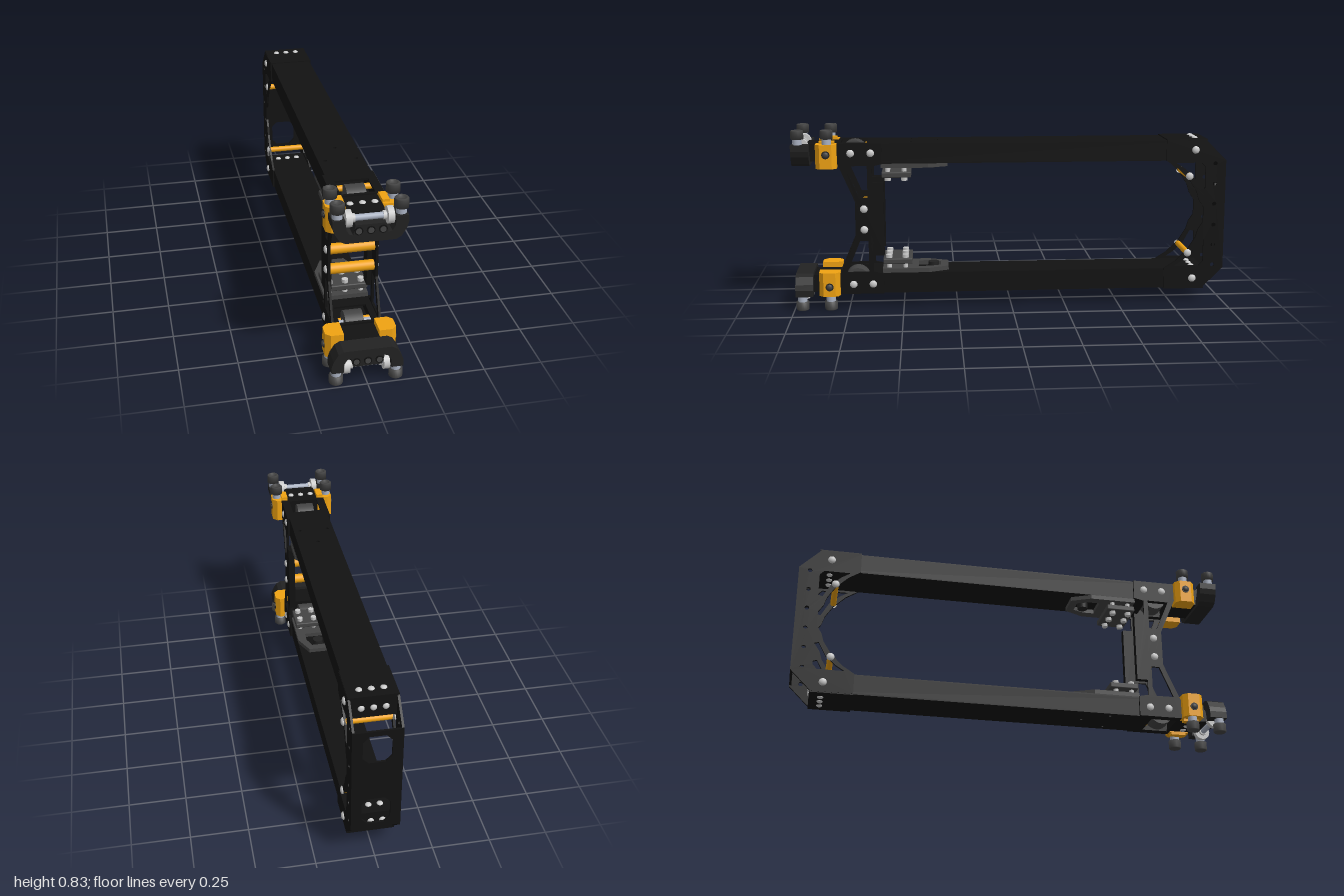
import * as THREE from 'three';
import { RoundedBoxGeometry } from 'three/addons/geometries/RoundedBoxGeometry.js';

const paint = (color) => new THREE.MeshStandardMaterial({ color, side: THREE.DoubleSide });
const black = paint(0x121212), charcoal = paint(0x222222), dark = paint(0x444444);
const yellow = paint(0xf0a312), grey = paint(0xcccccc), steel = paint(0xaab2c2);
const H = 0.83; // total height; the lower half is the upper half turned over
const UP = new THREE.Vector3(0, 1, 0);

function add(parent, name, geo, mat, x = 0, y = 0, z = 0) {
  const m = new THREE.Mesh(geo, mat);
  m.name = name;
  m.position.set(x, y, z);
  parent.add(m);
  return m;
}
const box = (p, n, mat, w, h, d, x, y, z) => add(p, n, new THREE.BoxGeometry(w, h, d), mat, x, y, z);
function rod(p, n, mat, r, len, axis, x, y, z) {
  const m = add(p, n, new THREE.CylinderGeometry(r, r, len, 24), mat, x, y, z);
  if (axis === 'x') m.rotation.z = Math.PI / 2;
  if (axis === 'z') m.rotation.x = Math.PI / 2;
  return m;
}
// domed screw head pointing along dir
function bolt(p, r, x, y, z, dir, mat = grey) {
  const g = new THREE.SphereGeometry(r, 16, 6, 0, Math.PI * 2, 0, Math.PI / 2).scale(1, 0.6, 1);
  add(p, 'bolt', g, mat, x, y, z).quaternion.setFromUnitVectors(UP, new THREE.Vector3(...dir));
}
const poly = (pts) => new THREE.Shape(pts.map(([a, b]) => new THREE.Vector2(a, b)));
function circle(x, y, r) {
  const c = new THREE.Path();
  c.absarc(x, y, r, 0, Math.PI * 2, true);
  return c;
}
function extrude(shape, depth, holes = []) {
  shape.holes.push(...holes);
  return new THREE.ExtrudeGeometry(shape, { depth, bevelEnabled: false, curveSegments: 10 }).translate(0, 0, -depth / 2);
}
const sidePlate = (s, t, holes) => extrude(s, t, holes).rotateY(-Math.PI / 2); // drawn in z, y
const flatPlate = (s, t, holes) => extrude(s, t, holes).rotateX(Math.PI / 2); // drawn in x, z
const flip = (pts) => pts.map(([a, b]) => [a, H - b]);
const both = (pts) => pts.concat(flip(pts).reverse());
const rect = (x, z0, z1) => poly([[-x, z0], [x, z0], [x, z1], [-x, z1]]);

// Everything belonging to one long beam, drawn for the upper one
function buildBeam() {
  const g = new THREE.Group();

  // Hollow beam with a slot for the wheel and small through holes
  const holes = () => [rect(0.07, 0.655, 0.775), circle(0, 0.34, 0.008), circle(-0.067, 0.46, 0.008), circle(0.067, 0.46, 0.008)];
  for (const y of [0.761, 0.674]) add(g, 'beamFace', flatPlate(rect(0.097, -0.91, 0.79), 0.008, holes()), black, 0, y, 0);
  for (const s of [-1, 1]) box(g, 'beamSide', black, 0.008, 0.095, 1.7, s * 0.093, 0.7175, -0.06);
  box(g, 'beamEnd', black, 0.19, 0.09, 0.01, 0, 0.7175, -0.905);
  box(g, 'beamCap', black, 0.206, 0.006, 0.19, 0, 0.767, -0.815);
  for (const x of [-0.05, 0, 0.05]) {
    bolt(g, 0.014, x, 0.77, -0.86, [0, 1, 0]);
    bolt(g, 0.014, x, 0.715, -0.91, [0, 0, -1]);
    bolt(g, 0.014, x, 0.67, -0.86, [0, -1, 0]);
    bolt(g, 0.014, x, 0.76, 0.85, [0, 1, 0]);
  }

  // Wheel inside the beam
  rod(g, 'wheel', dark, 0.056, 0.08, 'x', 0, 0.715, 0.715);
  rod(g, 'wheelAxle', steel, 0.015, 0.19, 'x', 0, 0.715, 0.715);
  rod(g, 'spacerRod', yellow, 0.013, 0.18, 'x', 0, 0.735, 0.665);

  // Nose joining beam and bumper
  box(g, 'nose', black, 0.15, 0.08, 0.15, 0, 0.72, 0.855);

  // U-shaped bumper
  const u = poly([[-0.15, 0.765], [-0.15, 0.735], [-0.142, 0.71], [-0.122, 0.677], [-0.1, 0.665],
    [0.1, 0.665], [0.122, 0.677], [0.142, 0.71], [0.15, 0.735], [0.15, 0.765], [0.1, 0.765],
    [0.098, 0.725], [0.085, 0.705], [0.07, 0.7], [0.06, 0.742], [-0.06, 0.742], [-0.07, 0.7], [-0.085, 0.705], [-0.098, 0.725], [-0.1, 0.765]]);
  add(g, 'bumper', extrude(u, 0.08), charcoal, 0, 0, 0.953);
  for (const x of [-0.048, 0, 0.048]) {
    rod(g, 'bumperBoltRim', black, 0.017, 0.01, 'z', x, 0.717, 0.992);
    rod(g, 'bumperBolt', dark, 0.012, 0.012, 'z', x, 0.717, 0.993);
  }
  rod(g, 'rollerAxle', steel, 0.013, 0.15, 'x', 0, 0.755, 0.955);
  for (const s of [-1, 1]) {
    rod(g, 'roller', grey, 0.035, 0.025, 'x', s * 0.083, 0.755, 0.955);
    rod(g, 'axleCollar', grey, 0.018, 0.012, 'x', s * 0.062, 0.755, 0.955);

    // Feet on the bumper and on the yellow clamps
    for (const [x, z] of [[0.126, 0.963], [0.127, 0.833]]) {
      rod(g, 'footCollar', steel, 0.021, 0.04, 'y', s * x, 0.775, z);
      const foot = new THREE.LatheGeometry([[0, 0.79], [0.029, 0.79], [0.029, 0.826], [0.025, 0.83], [0.016, 0.83], [0.014, 0.822], [0, 0.822]]
        .map(([r, y]) => new THREE.Vector2(r, y)), 24);
      add(g, 'foot', foot, dark, s * x, 0, z);
    }
    const clamp = poly([[0.075, 0.79], [0.13, 0.79], [0.151, 0.81], [0.151, 0.865], [0.13, 0.885], [0.075, 0.885]]
      .map(([x, z]) => [s * x, z]));
    add(g, 'clamp', flatPlate(clamp, 0.11), yellow, 0, 0.71, 0);
    box(g, 'clampLip', yellow, 0.03, 0.012, 0.07, s * 0.09, 0.77, 0.835);
    rod(g, 'clampBoltRim', charcoal, 0.018, 0.006, 'x', s * 0.151, 0.72, 0.837);
    bolt(g, 0.014, s * 0.153, 0.72, 0.837, [s, 0, 0], dark);

    // Screws through the side plates
    for (const [z, y] of [[0.73, 0.72], [0.64, 0.72], [-0.855, 0.72], [-0.83, 0.597]]) bolt(g, 0.018, s * 0.105, y, z, [s, 0, 0]);
    bolt(g, 0.018, s * 0.107, 0.463, 0.675, [s, 0, 0]);
  }

  // Yellow cross rods between the side plates
  rod(g, 'crossRoller', yellow, 0.023, 0.194, 'x', 0, 0.463, 0.675);
  rod(g, 'rearCrossRod', yellow, 0.014, 0.194, 'x', 0, 0.597, -0.83);

  // Mounting plate on the inner face of the beam
  const tapered = poly([[-0.097, 0.595], [0.097, 0.595], [0.097, 0.38], [0.055, 0.29], [-0.055, 0.29], [-0.097, 0.38]]);
  const slot = poly([[-0.055, 0.43], [0.055, 0.43], [0.055, 0.375], [0.035, 0.325], [-0.035, 0.325], [-0.055, 0.375]]);
  add(g, 'mountPlate', flatPlate(tapered, 0.02, [slot]), dark, 0, 0.66, 0);
  rod(g, 'mountKnob', charcoal, 0.025, 0.03, 'y', 0, 0.655, 0.36);
  add(g, 'clampPlate', new RoundedBoxGeometry(0.19, 0.026, 0.135, 2, 0.005), dark, 0, 0.617, 0.525);
  for (const x of [-0.07, 0, 0.07]) for (const z of [0.49, 0.565]) {
    rod(g, 'standoff', grey, 0.011, 0.03, 'y', x, 0.64, z);
    add(g, 'hexNut', new THREE.CylinderGeometry(0.015, 0.015, 0.018, 6), grey, x, 0.597, z);
  }
  return g;
}

export function createModel() {
  const model = new THREE.Group();
  const upper = buildBeam();
  upper.name = 'upperBeam';
  const lower = buildBeam();
  lower.name = 'lowerBeam';
  lower.rotation.z = Math.PI;
  lower.position.y = H;
  model.add(upper, lower);

  // Front truss plates and rear arched plates, one pair per side
  const front = both([[0.79, 0.765], [0.79, 0.675], [0.715, 0.5]]);
  const frontBack = [[0.59, 0.765], [0.59, 0.67], [0.635, 0.66], [0.635, 0.585], [0.585, 0.585]];
  const gap = [[0.757, 0.662], [0.657, 0.662], [0.657, 0.515], [0.695, 0.515]];
  const rear = [[-0.72, 0.765], [-0.905, 0.765], [-1, 0.67]];
  const arch = [[-0.72, 0.67], [-0.775, 0.635], [-0.83, 0.58], [-0.865, 0.525], [-0.877, 0.485], [-0.9, 0.45]];
  const archGap = [[-0.765, 0.66], [-0.885, 0.66], [-0.905, 0.64], [-0.905, 0.535], [-0.885, 0.53], [-0.85, 0.595], [-0.805, 0.635]];
  for (const s of [-1, 1]) {
    const truss = poly(front.concat(both(frontBack).reverse()));
    add(model, 'frontTruss', sidePlate(truss, 0.01, [poly(gap), poly(flip(gap))]), black, s * 0.102, 0, 0);
    box(model, 'frontPost', black, 0.03, 0.335, 0.06, s * 0.092, H / 2, 0.615);

    const holes = [poly(archGap), poly(flip(archGap))];
    for (const y of [0.656, 0.56, 0.465]) holes.push(circle(-0.95, y, 0.01), circle(-0.95, H - y, 0.01));
    const panel = poly(both(rear).concat(both(arch).reverse()));
    add(model, 'rearArch', sidePlate(panel, 0.01, holes), black, s * 0.099, 0, 0);
  }

  // Rear wall with two eight-sided windows
  const win = [[-0.06, 0.535], [-0.035, 0.51], [0.035, 0.51], [0.06, 0.535], [0.06, 0.615], [0.035, 0.642], [-0.035, 0.642], [-0.06, 0.615]];
  const wall = poly([[-0.103, 0.165], [0.103, 0.165], [0.103, 0.665], [-0.103, 0.665]]);
  add(model, 'rearWall', extrude(wall, 0.01, [poly(win), poly(flip(win))]), black, 0, 0, -0.995);
  return model;
}
